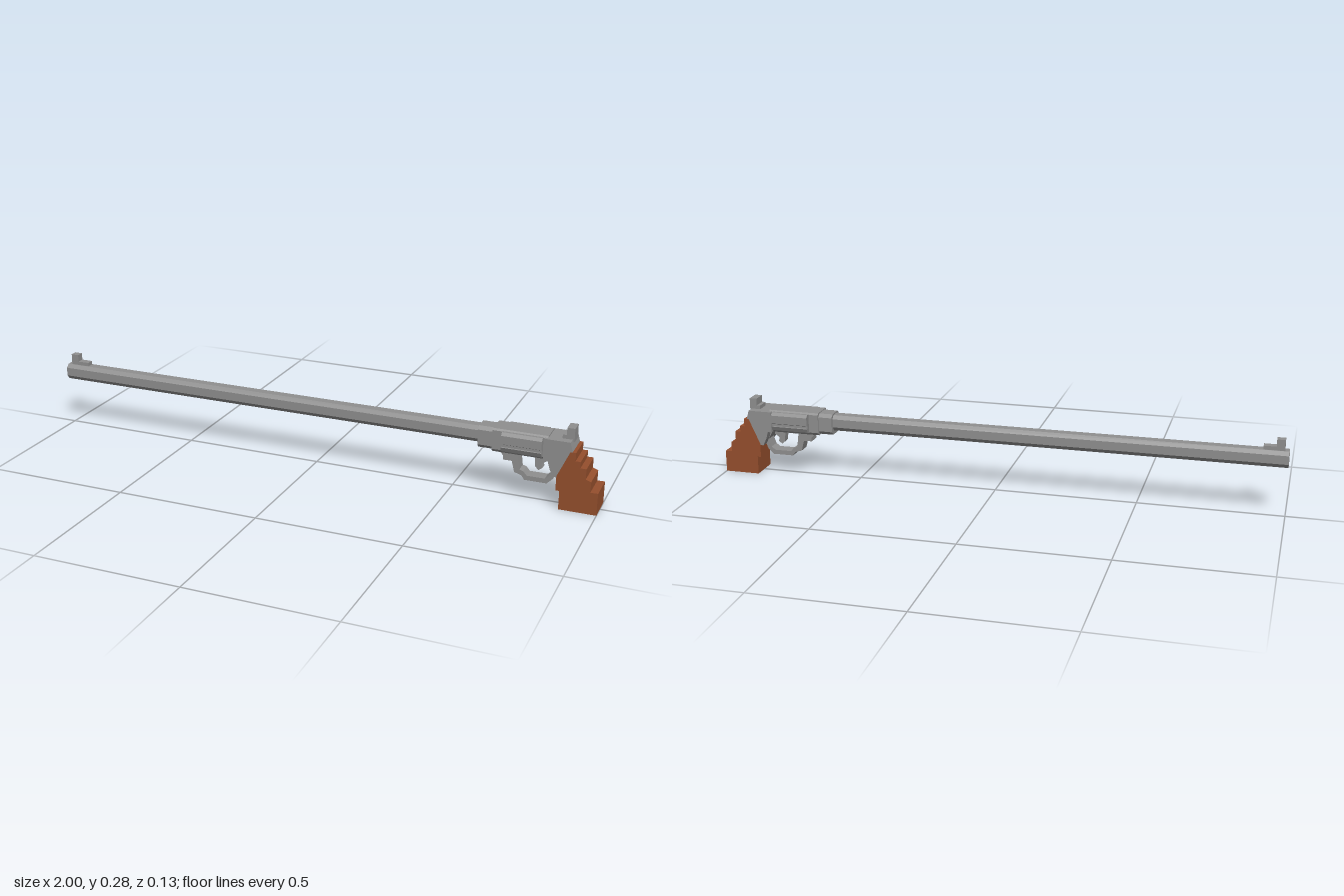
import * as THREE from 'three';

export function createModel() {
  const model = new THREE.Group();
  const steel = new THREE.MeshStandardMaterial({ color: 0x8f8f8f });
  steel.name = 'steel grey';
  const wood = new THREE.MeshStandardMaterial({ color: 0x954f2d });
  wood.name = 'grip brown';

  const add = (name, geometry, material = steel) => {
    const mesh = new THREE.Mesh(geometry, material);
    mesh.name = name;
    model.add(mesh);
    return mesh;
  };
  const shapeOf = (points) => new THREE.Shape(points.map(([x, y]) => new THREE.Vector2(x, y)));

  // Side profile (x, y) given a width across z
  const slab = (name, points, halfWidth, material) => {
    const g = new THREE.ExtrudeGeometry(shapeOf(points), { depth: halfWidth * 2, bevelEnabled: false });
    return add(name, g.translate(0, 0, -halfWidth), material);
  };
  // Mirrored cross-section (z, y) run along x; points go down the right half
  const bar = (name, half, x0, x1) => {
    const mirrored = half.map(([z, y]) => [-z, y]).reverse();
    const g = new THREE.ExtrudeGeometry(shapeOf([...half, ...mirrored]), { depth: x1 - x0, bevelEnabled: false });
    return add(name, g.rotateY(Math.PI / 2).translate(x0, 0, 0));
  };
  const box = (name, x0, x1, y0, y1, halfWidth) => add(name,
    new THREE.BoxGeometry(x1 - x0, y1 - y0, halfWidth * 2).translate((x0 + x1) / 2, (y0 + y1) / 2, 0));

  // Eight-sided barrel and its collar
  bar('barrel', [[0.015, 0.234], [0.028, 0.222], [0.028, 0.192], [0.015, 0.177]], -1, 0.6);
  bar('barrelCollar', [[0.024, 0.239], [0.037, 0.228], [0.037, 0.176], [0.024, 0.163]], 0.59, 0.65);

  // Stepped front sight
  slab('frontSight', [[-0.985, 0.22], [-0.915, 0.22], [-0.915, 0.247], [-0.957, 0.247],
    [-0.957, 0.272], [-0.985, 0.272]], 0.013);

  // Frame around the fluted cylinder
  bar('frame', [[0.036, 0.242], [0.042, 0.236], [0.042, 0.17], [0.034, 0.16]], 0.64, 0.825);
  bar('flutedCylinder', [[0.035, 0.237], [0.052, 0.238], [0.063, 0.229], [0.063, 0.2], [0.055, 0.196],
    [0.055, 0.188], [0.063, 0.188], [0.056, 0.173], [0.035, 0.166]], 0.675, 0.81);
  slab('rearFrame', [[0.815, 0.237], [0.9, 0.237], [0.91, 0.2], [0.885, 0.15], [0.87, 0.11],
    [0.85, 0.11], [0.838, 0.135], [0.83, 0.162], [0.815, 0.162]], 0.052);

  // Trigger guard with an open middle
  const guard = shapeOf([[0.655, 0.165], [0.675, 0.145], [0.675, 0.13], [0.705, 0.13], [0.715, 0.092],
    [0.74, 0.084], [0.75, 0.07], [0.825, 0.07], [0.845, 0.09], [0.86, 0.13], [0.84, 0.165]]);
  guard.holes.push(new THREE.Path([[0.725, 0.155], [0.825, 0.155], [0.842, 0.125], [0.832, 0.097],
    [0.818, 0.086], [0.757, 0.086], [0.745, 0.1], [0.732, 0.104]].map(([x, y]) => new THREE.Vector2(x, y))));
  add('triggerGuard', new THREE.ExtrudeGeometry(guard, { depth: 0.044, bevelEnabled: false }).translate(0, 0, -0.022));
  slab('trigger', [[0.778, 0.165], [0.782, 0.12], [0.793, 0.109], [0.806, 0.118], [0.802, 0.133],
    [0.82, 0.145], [0.82, 0.165]], 0.014);

  // Hammer with its thumb piece
  box('hammerStem', 0.867, 0.893, 0.22, 0.25, 0.024);
  box('hammerThumbPiece', 0.88, 0.906, 0.228, 0.275, 0.024);

  // Grip with a stepped back
  slab('grip', [[0.875, 0], [1, 0], [1, 0.077], [0.975, 0.077], [0.975, 0.113], [0.957, 0.12],
    [0.957, 0.155], [0.937, 0.155], [0.937, 0.177], [0.92, 0.177], [0.92, 0.205], [0.902, 0.205],
    [0.862, 0.115], [0.862, 0.065], [0.875, 0.065]], 0.053, wood);

  return model;
}
